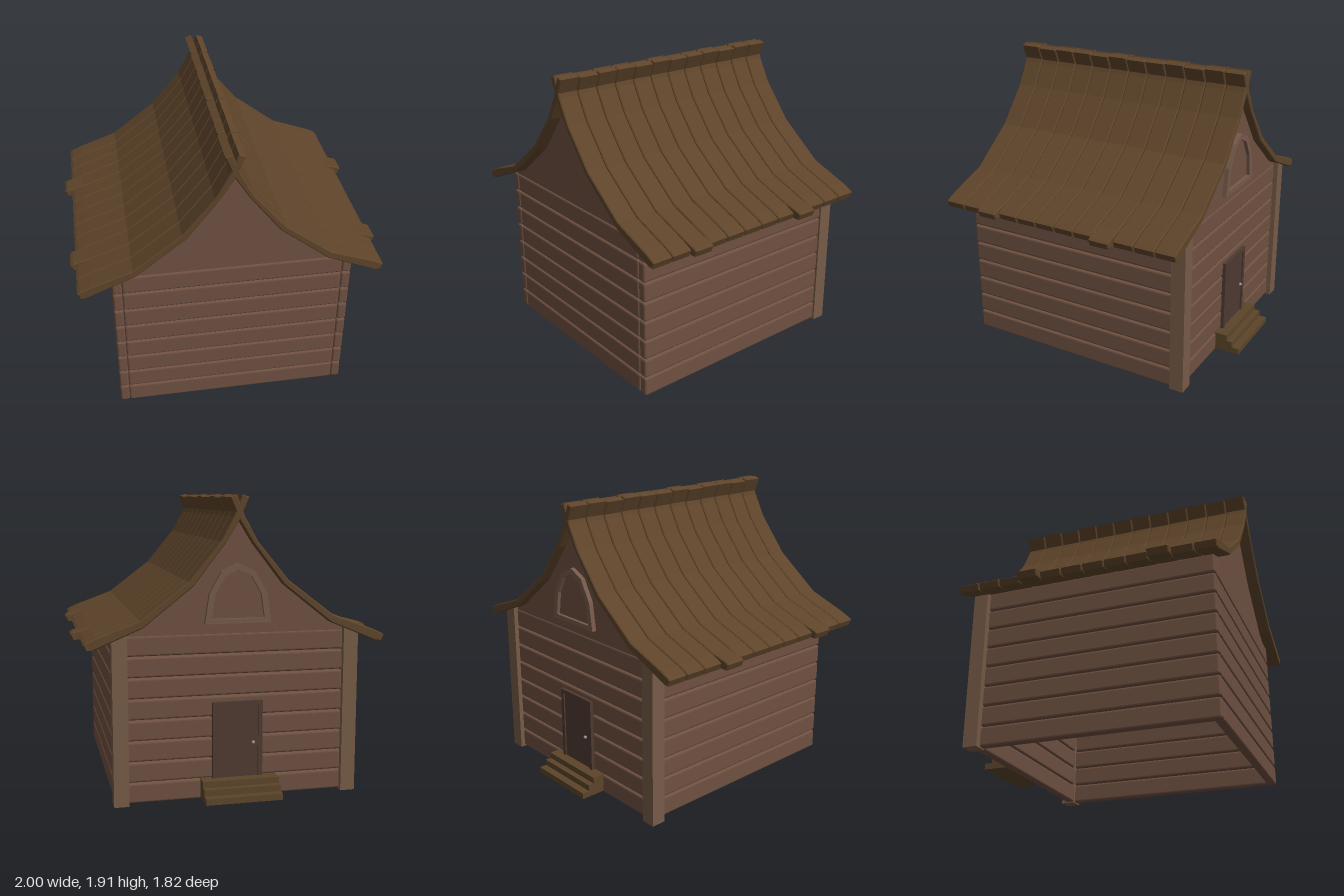
import * as THREE from 'three';
import { RoundedBoxGeometry } from 'three/addons/geometries/RoundedBoxGeometry.js';

const mat = (color) => new THREE.MeshStandardMaterial({ color, flatShading: true, side: THREE.DoubleSide });

export function createModel() {
  const model = new THREE.Group();
  const wallMat = mat(0x6e5041), roofMat = mat(0x5e442a), postMat = mat(0x765b47);
  const doorMat = mat(0x4e3a31), frameMat = mat(0x75594a), stepMat = mat(0x5c452a), knobMat = mat(0x999999);

  const add = (parent, name, geometry, material, x = 0, y = 0, z = 0) => {
    const mesh = new THREE.Mesh(geometry, material);
    mesh.name = name;
    mesh.position.set(x, y, z);
    parent.add(mesh);
    return mesh;
  };
  const group = (name) => {
    const g = new THREE.Group();
    g.name = name;
    model.add(g);
    return g;
  };
  const shapeOf = (pts) => new THREE.Shape(pts.map(([x, y]) => new THREE.Vector2(x, y)));

  // Plank walls: eight rows on each of four sides, open inside
  const walls = group('walls');
  const rows = 8, pitch = 0.132, cx = 0.015;
  for (let i = 0; i < rows; i++) {
    const y = 0.005 + (i + 0.5) * pitch;
    for (const s of [-1, 1]) {
      add(walls, 'sidePlank', new RoundedBoxGeometry(0.06, 0.127, 1.56, 2, 0.014), wallMat, cx + s * 0.725, y, 0.06);
    }
    add(walls, 'frontPlank', new RoundedBoxGeometry(1.39, 0.127, 0.06, 2, 0.014), wallMat, cx, y, 0.81);
    add(walls, 'backPlank', new RoundedBoxGeometry(1.42, 0.127, 0.06, 2, 0.014), wallMat, cx, y, -0.71);
  }

  // Corner posts at the entrance end
  for (const s of [-1, 1]) {
    add(model, 'cornerPost', new THREE.BoxGeometry(0.095, 1.07, 0.095), postMat, s * 0.735, 0.535, -0.7225);
  }

  // Gable panels follow the sweep of the roof
  const half = [[0.72, 1.055], [0.6, 1.115], [0.29, 1.37], [0.095, 1.62]];
  const gableShape = shapeOf([...half, [0, 1.77], ...half.map(([x, y]) => [-x, y]).reverse()]);
  for (const z of [0.78, -0.735]) {
    add(model, 'gable', new THREE.ExtrudeGeometry(gableShape, { depth: 0.05, bevelEnabled: false }), wallMat, 0, 0, z);
  }

  // Roof: curved planks whose tips cross over the ridge
  const roof = group('roof');
  const count = 12, step = 1.7 / count, bevel = 0.006;
  for (let i = 0; i < count; i++) {
    const reach = i === 3 ? 1 : i === 9 ? 0.985 : 0.952;
    const wobble = 0.004 * Math.sin(i * 2.4);
    const profile = shapeOf([
      [-0.055, 1.885 + wobble], [-0.002, 1.76], [0.09, 1.612], [0.285, 1.36], [0.595, 1.115],
      [0.9, 0.987], [reach - 0.02, 0.985], [reach - 0.006, 1.02], [reach - 0.02, 1.03],
      [0.87, 1.058], [0.61, 1.152], [0.31, 1.38], [0.112, 1.62], [0.03, 1.77], [-0.02, 1.897 + wobble],
    ]);
    const geometry = new THREE.ExtrudeGeometry(profile, {
      depth: step - 0.004 - 2 * bevel, bevelThickness: bevel, bevelSize: bevel, bevelOffset: -0.002, bevelSegments: 1,
    });
    geometry.translate(0, 0, -(step - 0.004) / 2 + bevel);
    const z = -0.79 + (i + 0.5) * step;
    add(roof, 'rightRoofPlank', geometry, roofMat, 0, 0, z).rotation.y = Math.PI;
    add(roof, 'leftRoofPlank', geometry, roofMat, 0, 0, z);
  }

  // Door with frame and knob
  const door = group('door');
  add(door, 'doorPanel', new THREE.BoxGeometry(0.27, 0.48, 0.03), doorMat, 0, 0.36, -0.738);
  for (const s of [-1, 1]) {
    add(door, 'doorJamb', new THREE.BoxGeometry(0.028, 0.51, 0.045), doorMat, s * 0.147, 0.365, -0.74);
  }
  add(door, 'doorLintel', new THREE.BoxGeometry(0.322, 0.028, 0.045), doorMat, 0, 0.614, -0.74);
  add(door, 'knob', new THREE.SphereGeometry(0.011, 12, 8), knobMat, -0.1, 0.36, -0.764);

  // Entrance steps
  const steps = group('steps');
  [-0.91, -0.86, -0.82].forEach((front, i) => {
    const depth = -0.73 - front;
    add(steps, 'step', new THREE.BoxGeometry(0.49, 0.04, depth), stepMat, -0.01, 0.04 + i * 0.04, front + depth / 2);
  });

  // Arched gable window: a faceted frame around a recessed pane
  const arch = (w, h, y0) => Array.from({ length: 7 }, (_, i) => {
    const a = (i / 6) * Math.PI;
    return [w * Math.cos(a), y0 + h * Math.sin(a)];
  });
  const frame = shapeOf(arch(0.21, 0.37, 1.12));
  frame.holes.push(new THREE.Path(arch(0.168, 0.3, 1.15).map(([x, y]) => new THREE.Vector2(x, y))));
  add(model, 'windowFrame', new THREE.ExtrudeGeometry(frame, { depth: 0.035, bevelEnabled: false }), frameMat, 0, 0, -0.765);
  add(model, 'windowPane', new THREE.ExtrudeGeometry(shapeOf(arch(0.18, 0.31, 1.145)), { depth: 0.01, bevelEnabled: false }),
    wallMat, 0, 0, -0.742);

  return model;
}
